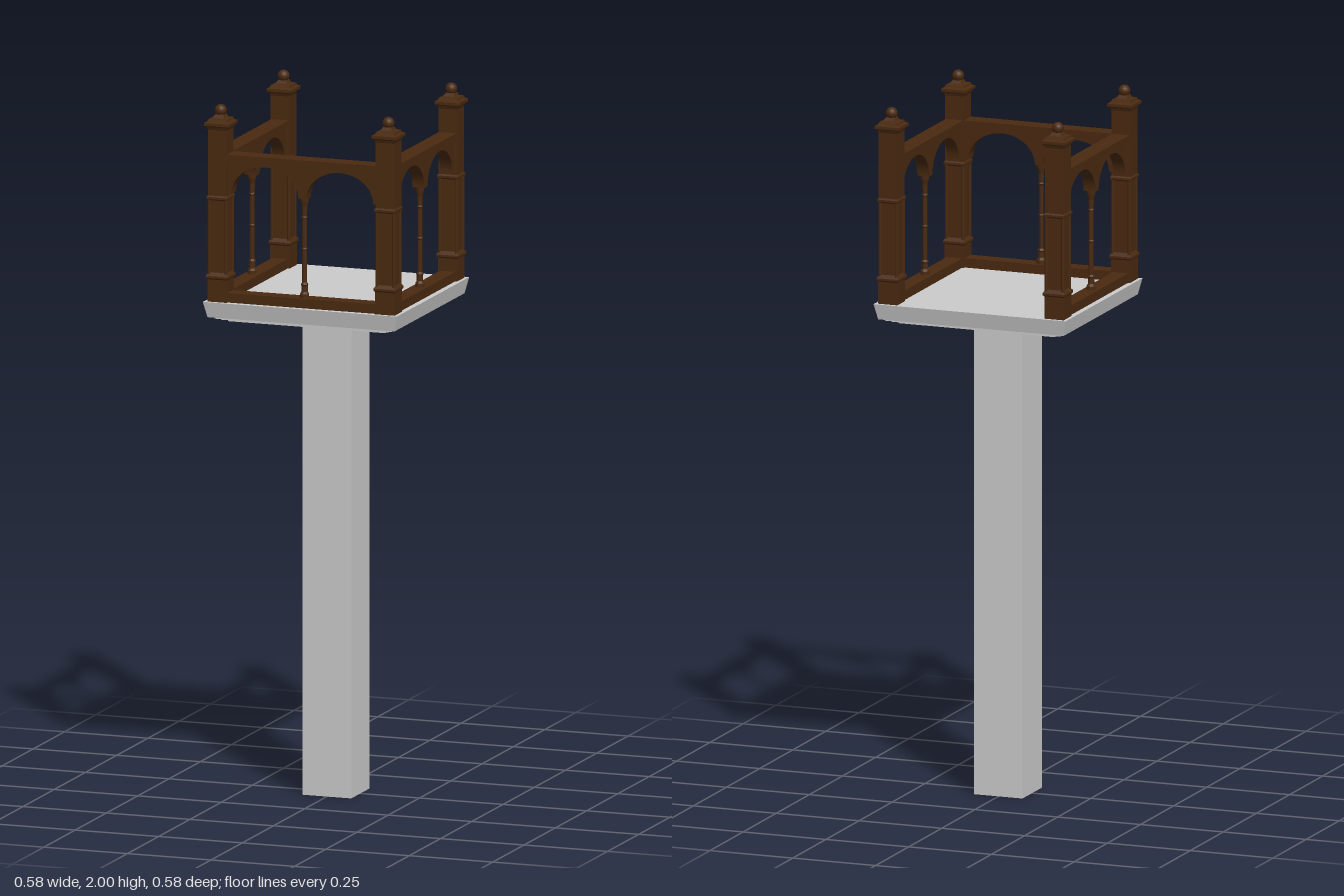
import * as THREE from 'three';

const stone = new THREE.MeshStandardMaterial({ color: 0xcccccc, flatShading: true });
const openStone = new THREE.MeshStandardMaterial({ color: 0xcccccc, flatShading: true, side: THREE.DoubleSide });
const wood = new THREE.MeshStandardMaterial({ color: 0x4a2a10, flatShading: true });
const smoothWood = new THREE.MeshStandardMaterial({ color: 0x4a2a10 });

function add(parent, name, geometry, material, x = 0, y = 0, z = 0) {
  const mesh = new THREE.Mesh(geometry, material);
  mesh.name = name;
  mesh.position.set(x, y, z);
  parent.add(mesh);
  return mesh;
}

// Square-section turning from [half width, height] pairs, bottom to top
function squareTurned(profile) {
  const points = profile.map(([half, y]) => new THREE.Vector2(half * Math.SQRT2, y));
  return new THREE.LatheGeometry(points, 4, Math.PI / 4);
}

// Corner post with plinth, panelled shaft, corner beads, stepped cap and ball
function createPost() {
  const post = new THREE.Group();
  post.name = 'cornerPost';
  add(post, 'postShaft', squareTurned([
    [0, 1.435], [0.029, 1.435], [0.029, 1.502], [0.033, 1.506], [0.033, 1.512],
    [0.026, 1.522], [0.026, 1.728], [0.031, 1.732], [0.031, 1.738], [0.028, 1.742],
    [0.028, 1.93], [0.031, 1.938], [0.037, 1.942], [0.037, 1.95],
    [0.029, 1.954], [0.027, 1.96], [0.017, 1.963], [0.012, 1.972], [0, 1.972]
  ]), wood);
  for (const x of [-1, 1]) for (const z of [-1, 1]) {
    add(post, 'cornerBead', new THREE.CylinderGeometry(0.005, 0.005, 0.216, 8), smoothWood,
      x * 0.025, 1.622, z * 0.025);
  }
  add(post, 'ballFinial', new THREE.SphereGeometry(0.017, 16, 12), smoothWood, 0, 1.983, 0);
  return post;
}

// Twin-arched panel under a handrail
function createArcade() {
  const arcade = new THREE.Group();
  arcade.name = 'arcade';
  const spring = 1.75;
  const shape = new THREE.Shape();
  shape.moveTo(-0.226, spring);
  shape.lineTo(-0.212, spring);
  shape.absellipse(-0.112, spring, 0.1, 0.082, Math.PI, 0, true);
  shape.lineTo(0.012, spring);
  shape.absellipse(0.112, spring, 0.1, 0.082, Math.PI, 0, true);
  shape.lineTo(0.226, spring);
  shape.lineTo(0.226, 1.85);
  shape.lineTo(-0.226, 1.85);
  shape.closePath();
  const depth = 0.036;
  const panel = new THREE.ExtrudeGeometry(shape, { depth, bevelEnabled: false, curveSegments: 20 });
  panel.translate(0, 0, -depth / 2);
  add(arcade, 'archPanel', panel, wood);

  add(arcade, 'handrail', new THREE.BoxGeometry(0.452, 0.018, 0.052), wood, 0, 1.853, 0);
  add(arcade, 'bottomRail', new THREE.BoxGeometry(0.452, 0.03, 0.046), wood, 0, 1.45, 0);

  // Central colonnette with turned base, rings and capital
  const turned = [
    [0.013, 1.463], [0.013, 1.475], [0.009, 1.482], [0.009, 1.498], [0.011, 1.502],
    [0.007, 1.508], [0.007, 1.6], [0.009, 1.604], [0.007, 1.608], [0.007, 1.69],
    [0.009, 1.694], [0.007, 1.698], [0.008, 1.725], [0.012, 1.74], [0.013, 1.752]
  ].map(([r, y]) => new THREE.Vector2(r, y));
  add(arcade, 'colonnette', new THREE.LatheGeometry(turned, 12), wood);
  return arcade;
}

export function createModel() {
  const model = new THREE.Group();
  model.name = 'balconyOnPillar';

  // Hollow square pillar, open at the foot
  add(model, 'pillar', squareTurned([[0.073, 0], [0.073, 1.385]]), openStone);

  // Platform slab with stepped underside
  add(model, 'platform', squareTurned([
    [0, 1.376], [0.235, 1.376], [0.235, 1.382], [0.25, 1.382], [0.25, 1.387],
    [0.265, 1.387], [0.265, 1.393], [0.28, 1.393], [0.29, 1.438], [0, 1.438]
  ]), stone);

  for (const x of [-0.251, 0.251]) for (const z of [-0.251, 0.251]) {
    const post = createPost();
    post.position.set(x, 0, z);
    model.add(post);
  }

  // Arcades on the front and both sides; the back stays open
  for (const [name, x, z, turn] of [
    ['frontArcade', 0, 0.251, 0],
    ['leftArcade', 0.251, 0, Math.PI / 2],
    ['rightArcade', -0.251, 0, -Math.PI / 2]
  ]) {
    const arcade = createArcade();
    arcade.name = name;
    arcade.position.set(x, 0, z);
    arcade.rotation.y = turn;
    model.add(arcade);
  }
  return model;
}
